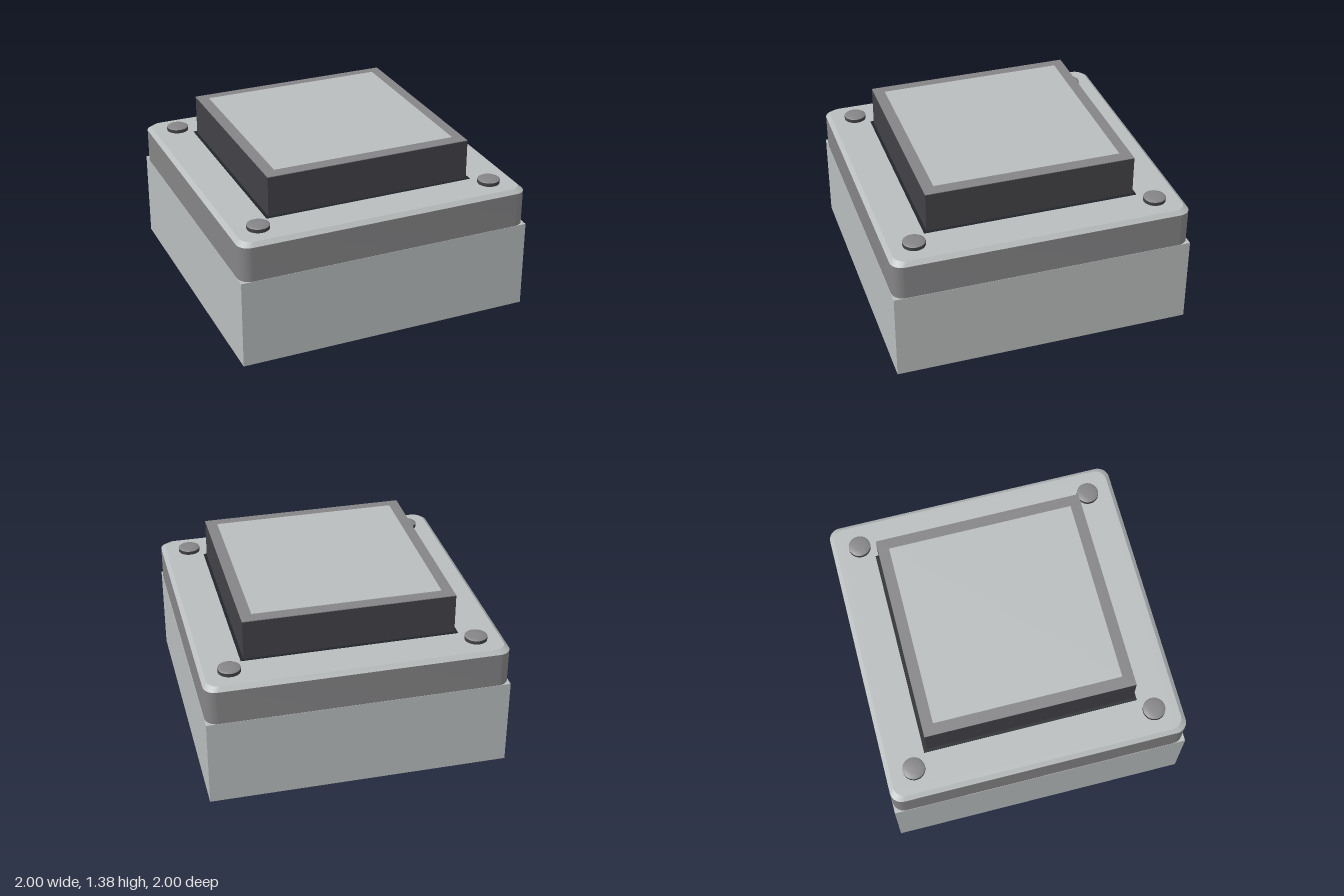
import * as THREE from 'three';
import { toCreasedNormals } from 'three/addons/utils/BufferGeometryUtils.js';

const paint = (name, color) => {
  const m = new THREE.MeshStandardMaterial({ color });
  m.name = name;
  return m;
};

// Upright slab with rounded corners; its upper outline shrinks by the factor topScale
function roundedSlab(half, radius, height, topScale = 1) {
  const s = new THREE.Shape();
  const k = half - radius;
  s.moveTo(-k, -half);
  s.lineTo(k, -half);
  s.absarc(k, -k, radius, -Math.PI / 2, 0);
  s.absarc(k, k, radius, 0, Math.PI / 2);
  s.absarc(-k, k, radius, Math.PI / 2, Math.PI);
  s.absarc(-k, -k, radius, Math.PI, Math.PI * 1.5);
  const g = new THREE.ExtrudeGeometry(s, { depth: height, bevelEnabled: false, curveSegments: 8 });
  g.rotateX(-Math.PI / 2);
  const p = g.attributes.position;
  for (let i = 0; i < p.count; i++) {
    if (p.getY(i) > height / 2) p.setXYZ(i, p.getX(i) * topScale, p.getY(i), p.getZ(i) * topScale);
  }
  return toCreasedNormals(g, 0.5);
}

export function createModel() {
  const model = new THREE.Group();
  const light = paint('light grey', 0xb8bcbc);
  const mid = paint('mid grey', 0x848486);
  const dark = paint('charcoal', 0x424146);
  const seam = paint('near black', 0x22252a);
  const metal = paint('pin metal', 0xc6c8c8);

  const add = (name, geometry, material, x, y, z) => {
    const mesh = new THREE.Mesh(geometry, material);
    mesh.name = name;
    mesh.position.set(x, y, z);
    model.add(mesh);
  };
  // Square block given by its half width, bottom and top
  const block = (name, half, y0, y1, material) =>
    add(name, new THREE.BoxGeometry(half * 2, y1 - y0, half * 2), material, 0, (y0 + y1) / 2, 0);

  // Housing: square base, rounded collar and bevelled lid
  block('base', 1, 0.24, 0.84, light);
  add('collar', roundedSlab(0.998, 0.08, 0.235), mid, 0, 0.84, 0);
  add('lid', roundedSlab(0.998, 0.08, 0.025, 0.972), light, 0, 1.075, 0);

  // Push button with its surrounding gap, rim and inset panel
  block('buttonGap', 0.72, 1.098, 1.103, seam);
  block('button', 0.7, 1.1, 1.371, dark);
  block('buttonRim', 0.7, 1.371, 1.375, mid);
  block('buttonPanel', 0.625, 1.375, 1.38, light);

  // Corner rivets with slightly domed heads
  const rivet = new THREE.CylinderGeometry(0.074, 0.074, 0.024, 32);
  const head = new THREE.LatheGeometry(
    [[0.074, 0], [0.062, 0.007], [0.035, 0.01], [0, 0.011]].map(([r, y]) => new THREE.Vector2(r, y)), 32);
  for (const x of [-0.81, 0.81]) {
    for (const z of [-0.81, 0.81]) {
      add('rivet', rivet, dark, x, 1.112, z);
      add('rivetHead', head, mid, x, 1.124, z);
    }
  }

  // Three by three grid of contact pins
  const pin = new THREE.CylinderGeometry(0.075, 0.075, 0.25, 32);
  for (const x of [-0.52, 0, 0.52]) {
    for (const z of [-0.52, 0, 0.52]) add('pin', pin, metal, x, 0.125, z);
  }
  return model;
}
